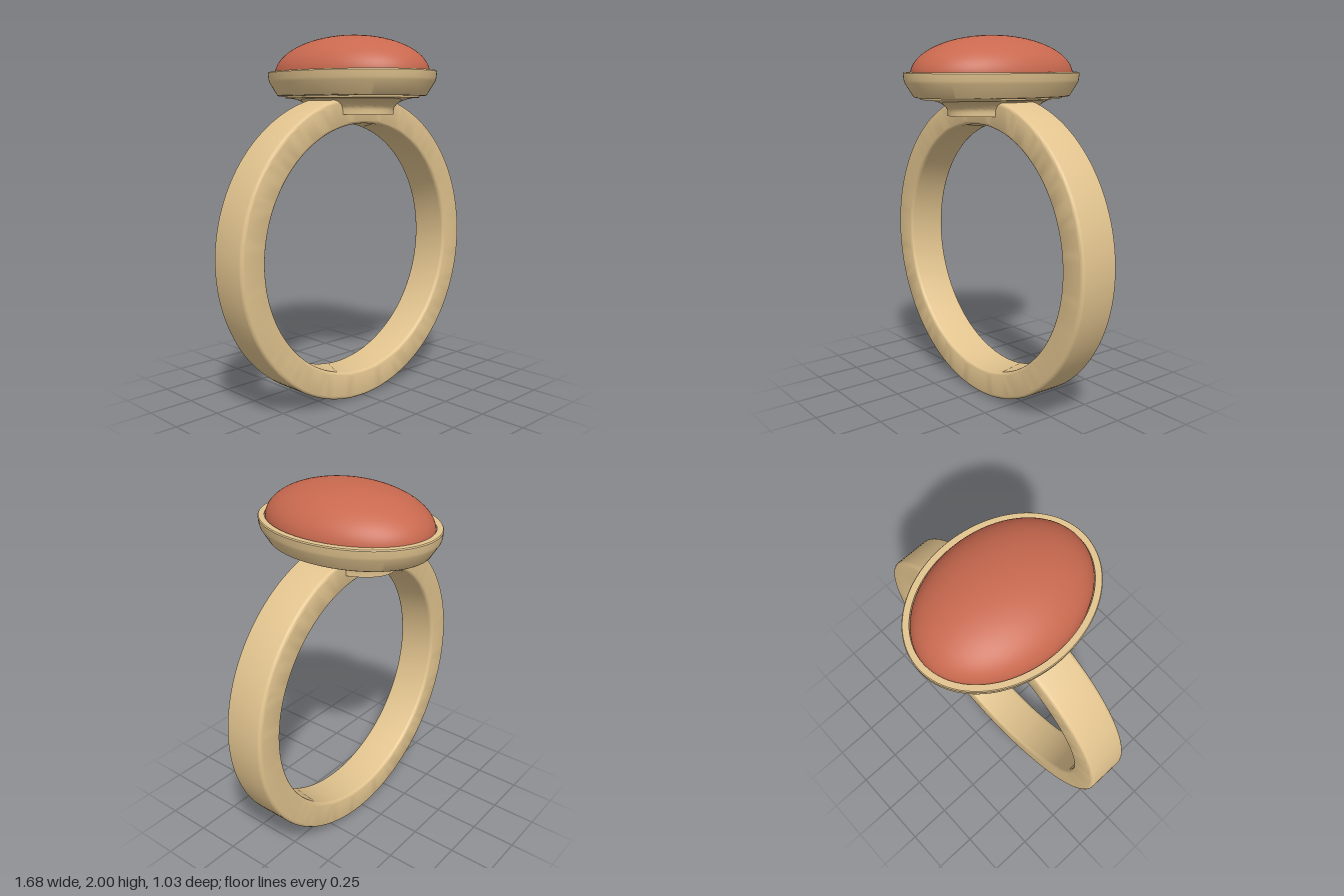
import * as THREE from 'three';
import { toCreasedNormals } from 'three/addons/utils/BufferGeometryUtils.js';

const gold = new THREE.MeshStandardMaterial({ color: 0xe2c48f });
const red = new THREE.MeshStandardMaterial({ color: 0xc9694f });

// Oval lathe: each profile entry is [half width x, half depth z, height y]
function ovalLathe(profile, segments = 96) {
  const points = profile.map(([rx, , y]) => new THREE.Vector2(rx, y));
  const geo = new THREE.LatheGeometry(points, segments);
  const pos = geo.attributes.position;
  for (let i = 0; i < pos.count; i++) {
    const angle = (Math.floor(i / profile.length) / segments) * Math.PI * 2;
    pos.setZ(i, Math.cos(angle) * profile[i % profile.length][1]);
  }
  return toCreasedNormals(geo, 0.5);
}

// Band section: rectangle with rounded corners, spun around the finger axis
function bandGeometry(inner, outer, halfWidth, round) {
  const pts = [];
  const corners = [
    [outer - round, -halfWidth + round, -90],
    [outer - round, halfWidth - round, 0],
    [inner + round, halfWidth - round, 90],
    [inner + round, -halfWidth + round, 180],
  ];
  for (const [cx, cy, start] of corners) {
    for (let i = 0; i <= 5; i++) {
      const a = THREE.MathUtils.degToRad(start + i * 18);
      pts.push(new THREE.Vector2(cx + round * Math.cos(a), cy + round * Math.sin(a)));
    }
  }
  pts.push(pts[0].clone());
  return toCreasedNormals(new THREE.LatheGeometry(pts, 128).rotateX(Math.PI / 2), 0.5);
}

export function createModel() {
  const ring = new THREE.Group();
  ring.name = 'ring';
  const add = (name, geometry, material) => {
    const mesh = new THREE.Mesh(geometry, material);
    mesh.name = name;
    ring.add(mesh);
    return mesh;
  };

  add('band', bandGeometry(0.69, 0.84, 0.116, 0.02), gold).position.y = 0.84;

  // Hollow collar flaring in a concave sweep up to the setting
  const flare = [];
  for (let i = 0; i <= 10; i++) {
    const a = (i / 10) * Math.PI / 2;
    const out = 1 - Math.cos(a);
    flare.push([0.185 + 0.1 * out, 0.275 + 0.155 * out, 1.6 + 0.065 * Math.sin(a)]);
  }
  add('collar', ovalLathe([
    [0, 0, 1.685], [0.15, 0.24, 1.685], [0.15, 0.24, 1.578], [0.185, 0.275, 1.578],
    ...flare,
    [0.29, 0.435, 1.685], [0, 0, 1.69],
  ]), gold);

  // Oval cup whose rim holds the stone
  add('bezel', ovalLathe([
    [0, 0, 1.675], [0.335, 0.455, 1.675], [0.345, 0.463, 1.68],
    [0.387, 0.507, 1.75], [0.391, 0.512, 1.765], [0.396, 0.515, 1.8],
    [0.392, 0.511, 1.806], [0.36, 0.48, 1.806], [0.356, 0.478, 1.72], [0, 0, 1.72],
  ]), gold);

  // Domed oval stone
  const dome = [[0, 0, 1.73], [0.355, 0.479, 1.73]];
  for (let i = 0; i <= 24; i++) {
    const a = (i / 24) * Math.PI / 2;
    const r = i === 24 ? 0 : Math.cos(a);
    dome.push([0.355 * r, 0.479 * r, 1.79 + 0.21 * Math.sin(a)]);
  }
  add('stone', ovalLathe(dome), red);

  return ring;
}
